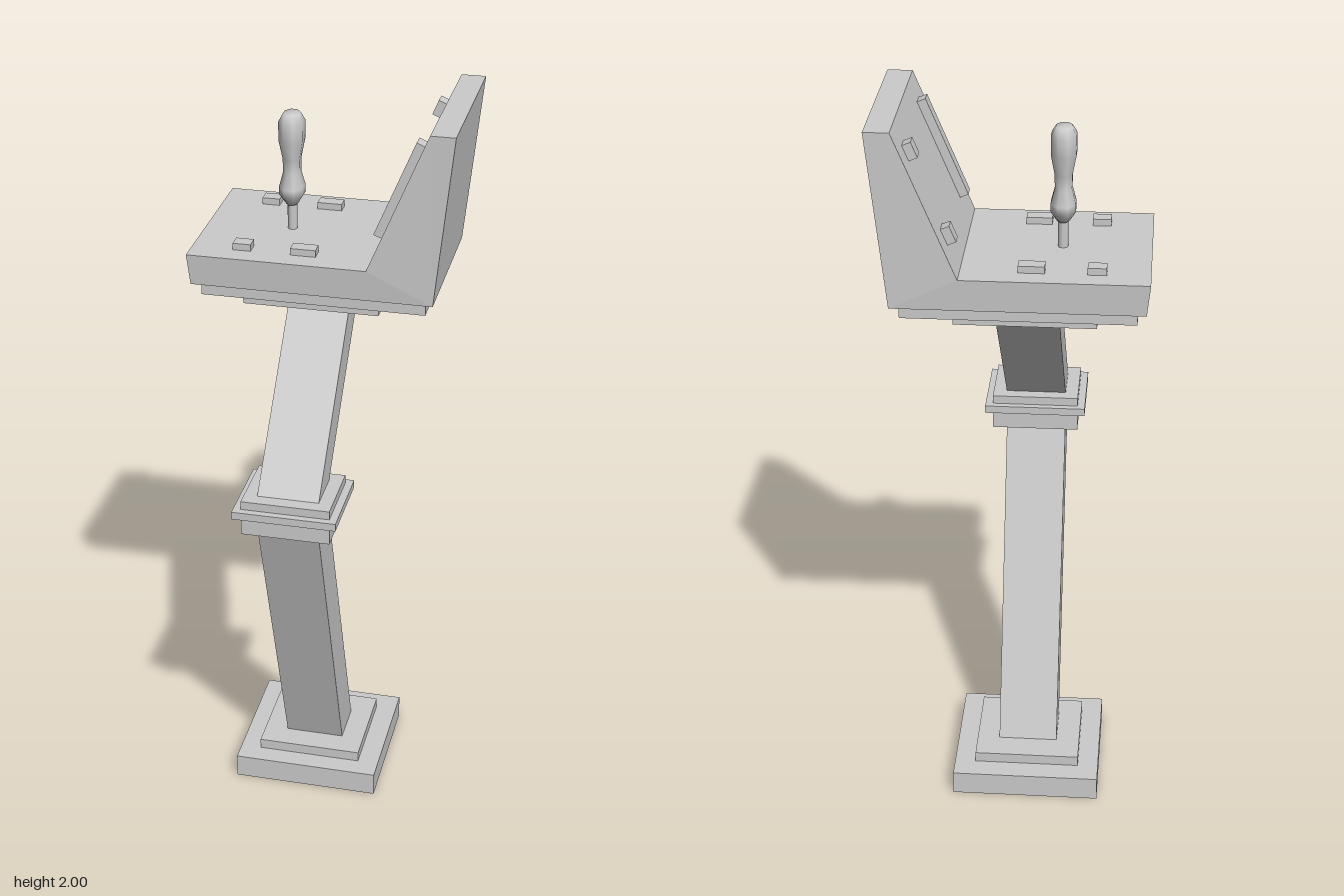
import * as THREE from 'three';

const material = new THREE.MeshStandardMaterial({ color: 0xcccccc, flatShading: true });
const smoothMaterial = new THREE.MeshStandardMaterial({ color: 0xcccccc });

function add(parent, name, geometry, mat = material) {
  const mesh = new THREE.Mesh(geometry, mat);
  mesh.name = name;
  parent.add(mesh);
  return mesh;
}

// Box given by its limits on each axis
function block(parent, name, [x0, x1], [y0, y1], [z0, z1]) {
  const mesh = add(parent, name, new THREE.BoxGeometry(x1 - x0, y1 - y0, z1 - z0));
  mesh.position.set((x0 + x1) / 2, (y0 + y1) / 2, (z0 + z1) / 2);
  return mesh;
}

// Outline in the xy plane, extruded from z0 to z1
function slab(points, z0, z1) {
  const shape = new THREE.Shape(points.map(([x, y]) => new THREE.Vector2(x, y)));
  return new THREE.ExtrudeGeometry(shape, { depth: z1 - z0, bevelEnabled: false }).translate(0, 0, z0);
}

// Column whose side outline is given as [z, y] points
function column(parent, name, points) {
  const geometry = slab(points.map(([z, y]) => [-z, y]), -0.048, 0.115);
  geometry.rotateY(Math.PI / 2); // outline x becomes -z, depth becomes x
  geometry.translate(-0.067, 0, 0);
  return add(parent, name, geometry);
}

export function createModel() {
  const model = new THREE.Group();
  model.name = 'controlConsole';

  // Stepped foot
  block(model, 'footSlab', [-0.237, 0.168], [0, 0.067], [-0.26, 0.125]);
  block(model, 'footStep', [-0.18, 0.11], [0.067, 0.096], [-0.2, 0.07]);

  // Bent stand with a collar at the elbow
  column(model, 'lowerColumn', [[0, 0.09], [-0.125, 0.09], [0.182, 0.965], [0.303, 0.965]]);
  block(model, 'collarLower', [-0.15, 0.084], [0.963, 1.016], [0.143, 0.335]);
  block(model, 'collarRim', [-0.17, 0.104], [1.016, 1.037], [0.125, 0.354]);
  block(model, 'collarUpper', [-0.15, 0.084], [1.037, 1.06], [0.143, 0.335]);
  column(model, 'upperColumn', [[0.303, 1.055], [0.182, 1.055], [-0.187, 1.453],
    [-0.187, 1.48], [-0.065, 1.48], [-0.065, 1.453]]);

  // Plates under the console
  block(model, 'mountPlate', [-0.213, 0.145], [1.477, 1.51], [-0.283, 0.034]);
  block(model, 'undersidePlate', [-0.313, 0.273], [1.51, 1.548], [-0.325, 0.073]);

  // Console body, narrowing slightly toward its underside
  const body = slab([[-0.335, 1.547], [0.295, 1.547], [0.342, 2], [0.278, 2],
    [0.124, 1.63], [-0.343, 1.63]], -0.357, 0.102);
  const p = body.attributes.position;
  for (let i = 0; i < p.count; i++) {
    if (p.getY(i) < 1.6) p.setZ(i, p.getZ(i) - Math.sign(p.getZ(i)) * 0.006);
  }
  body.computeVertexNormals();
  add(model, 'consoleBody', body);

  // Deck buttons: a narrow and a wide one along each edge
  const rows = [[-0.302, -0.266], [0.008, 0.045]];
  for (const z of rows) {
    block(model, 'deckButton', [-0.235, -0.188], [1.625, 1.648], z);
    block(model, 'deckButtonWide', [-0.084, -0.018], [1.625, 1.648], z);
  }

  // Raised controls on the sloped panel, y running up the slope
  const panel = new THREE.Group();
  panel.name = 'panelControls';
  panel.position.set(0.124, 1.63, 0);
  panel.rotation.z = -Math.atan2(0.154, 0.37);
  model.add(panel);
  block(panel, 'panelButtonLower', [-0.023, 0.005], [0.073, 0.117], rows[0]);
  block(panel, 'panelButtonUpper', [-0.023, 0.005], [0.304, 0.346], rows[0]);
  block(panel, 'panelBar', [-0.023, 0.005], [0.073, 0.346], rows[1]);

  // Joystick: eight-sided grip, deeper than wide
  const stick = new THREE.Group();
  stick.name = 'joystick';
  stick.position.set(-0.119, 1.62, -0.128);
  model.add(stick);
  const shaft = add(stick, 'joystickShaft', new THREE.CylinderGeometry(0.013, 0.013, 0.1, 8), smoothMaterial);
  shaft.position.y = 0.05;
  const profile = [[0, 0.08], [0.016, 0.08], [0.034, 0.108], [0.034, 0.128], [0.023, 0.168],
    [0.024, 0.205], [0.034, 0.255], [0.034, 0.305], [0.022, 0.326], [0, 0.326]]
    .map(([r, y]) => new THREE.Vector2(r, y));
  const grip = new THREE.LatheGeometry(profile, 8, Math.PI / 8);
  grip.scale(1, 1, 1.32);
  add(stick, 'joystickGrip', grip, smoothMaterial);

  return model;
}
